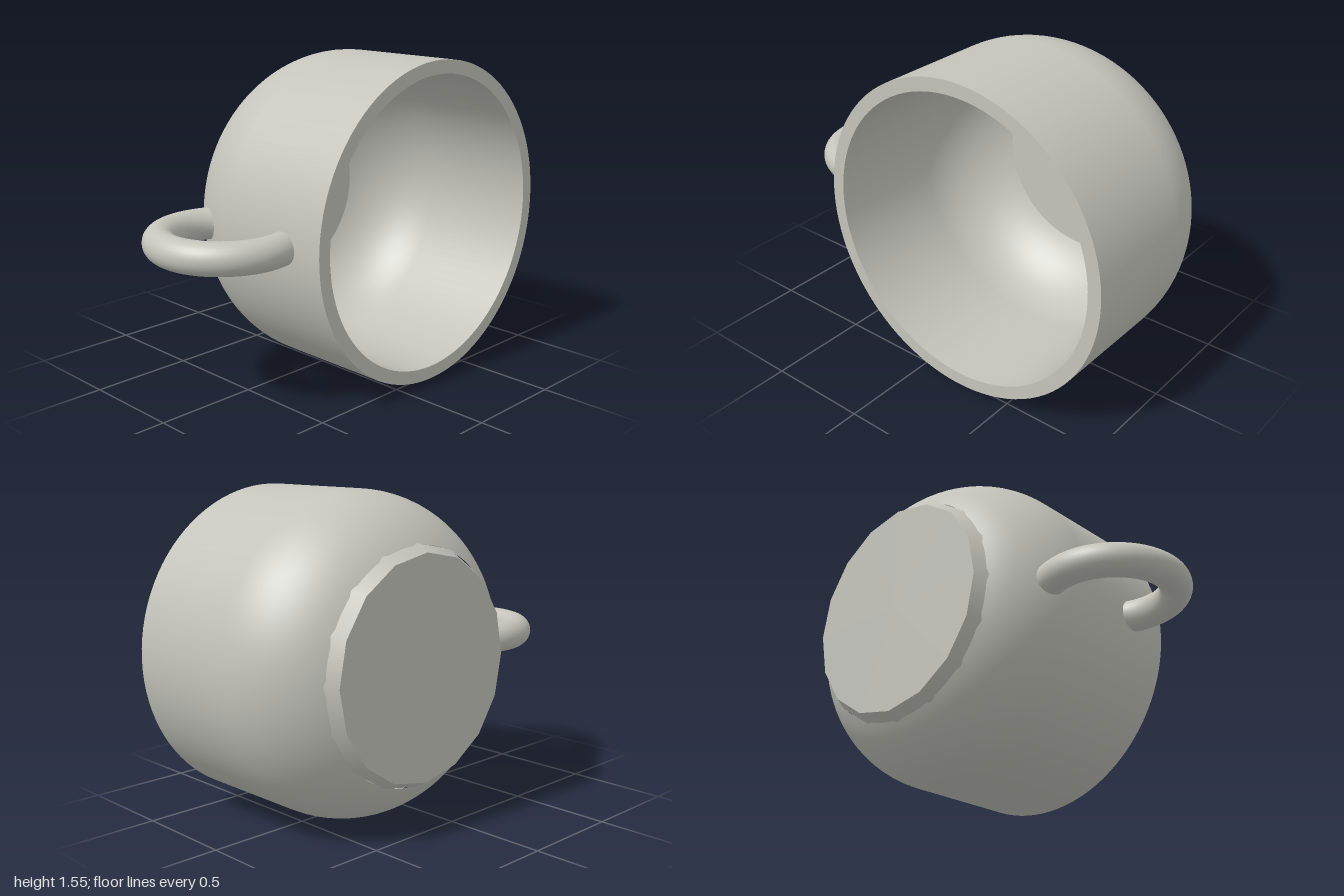
import * as THREE from 'three';

const CENTRE_Y = 0.775, CENTRE_Z = -0.225;

// Points of the rounded shoulder, from the base end to the straight wall
function shoulder(radius, sweep) {
  const points = [];
  for (let i = 0; i <= 20; i++) {
    const a = sweep * (1 - i / 20);
    points.push([0.275 + radius * Math.cos(a), -0.06 - radius * Math.sin(a)]);
  }
  return points;
}

export function createModel() {
  const group = new THREE.Group();
  const clay = new THREE.MeshStandardMaterial({ color: 0xc4c4bc });
  clay.name = 'pale grey';

  // Turns a [radius, x] profile around the sideways axis of the cup
  function turned(name, profile, segments = 96) {
    const points = profile.map(([r, x]) => new THREE.Vector2(r, x));
    const geometry = new THREE.LatheGeometry(points, segments).rotateZ(-Math.PI / 2);
    const mesh = new THREE.Mesh(geometry, clay);
    mesh.name = name;
    mesh.position.set(0, CENTRE_Y, CENTRE_Z);
    group.add(mesh);
  }

  // Cup lying on its side, mouth towards +x; separate lathes keep edges sharp
  turned('outerWall', [...shoulder(0.5, 0.997), [0.775, 0.53]]);
  turned('rim', [[0.775, 0.53], [0.71, 0.53]]);
  turned('innerWall', [[0.71, 0.53], ...shoulder(0.435, 1.152).reverse()]);
  turned('innerFloor', [[0.455, -0.457], [0, -0.457]]);

  // Faceted foot under the cup
  turned('footBevel', [[0.52, -0.535], [0.555, -0.475]], 16);
  turned('footBase', [[0, -0.535], [0.52, -0.535]], 16);

  // Ring handle on the front, its ends sunk in the wall
  const start = THREE.MathUtils.degToRad(-23);
  const arc = THREE.MathUtils.degToRad(238);
  const ring = new THREE.TorusGeometry(0.295, 0.076, 32, 80, arc);
  ring.rotateZ(start).rotateX(Math.PI / 2);
  const handle = new THREE.Mesh(ring, clay);
  handle.name = 'handle';
  handle.position.set(0.015, CENTRE_Y, 0.63);
  group.add(handle);

  return group;
}
